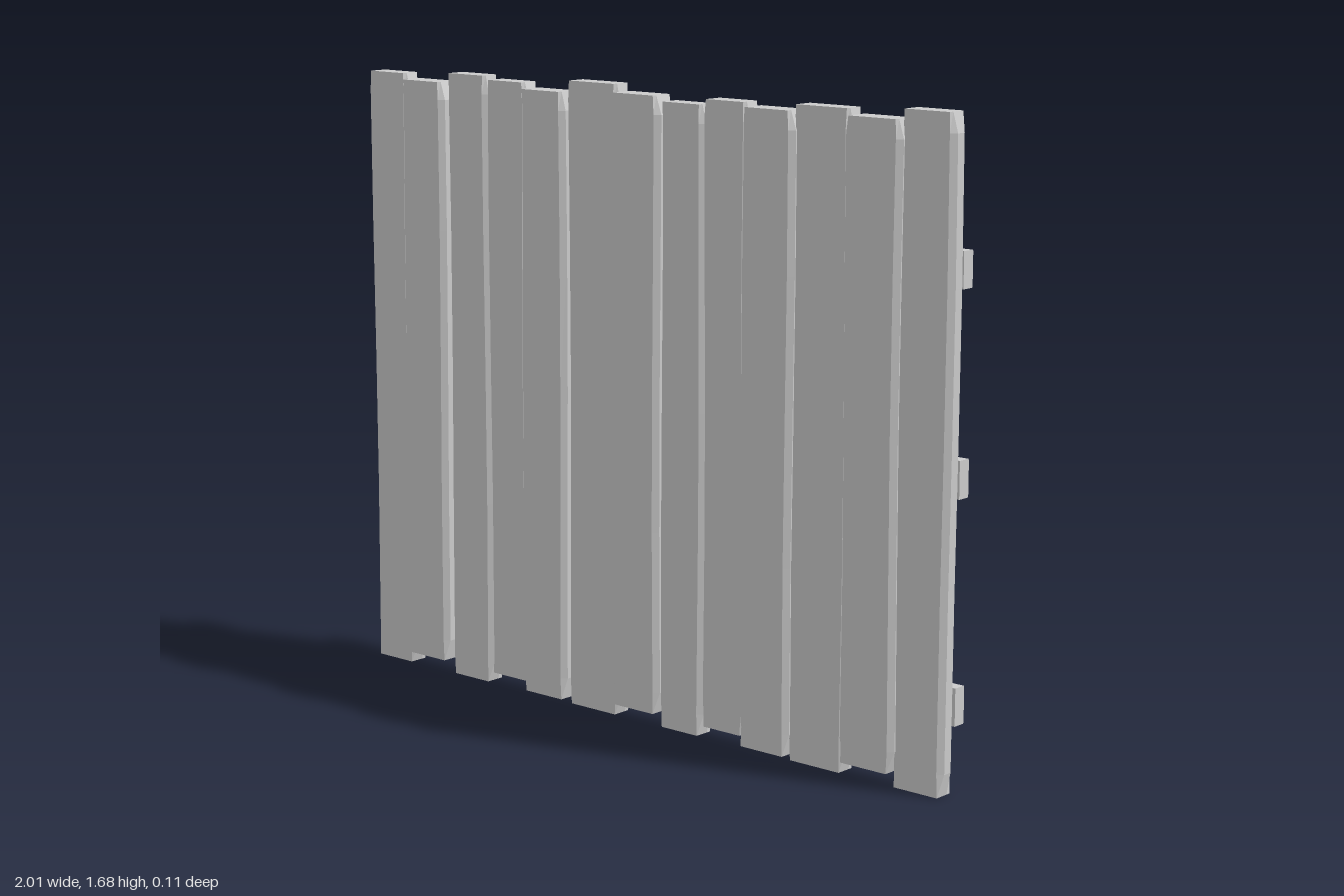
import * as THREE from 'three';

const material = new THREE.MeshStandardMaterial({ color: 0xcccccc, flatShading: true });

// Skin a row of equal-length rings (counter-clockwise about the direction of travel) and cap both ends.
function loft(name, rings) {
  const pos = [];
  const tri = (a, b, c) => pos.push(...a, ...b, ...c);
  const n = rings[0].length;
  for (let i = 0; i < rings.length - 1; i++) {
    for (let j = 0; j < n; j++) {
      const k = (j + 1) % n;
      const a = rings[i][j], b = rings[i][k], c = rings[i + 1][k], d = rings[i + 1][j];
      tri(a, b, c);
      tri(a, c, d);
    }
  }
  const cap = (ring, flip) => {
    const mid = [0, 1, 2].map((q) => ring.reduce((s, p) => s + p[q], 0) / n);
    for (let j = 0; j < n; j++) {
      const a = ring[j], b = ring[(j + 1) % n];
      flip ? tri(mid, b, a) : tri(mid, a, b);
    }
  };
  cap(rings[0], true);
  cap(rings[rings.length - 1], false);
  const geo = new THREE.BufferGeometry();
  geo.setAttribute('position', new THREE.Float32BufferAttribute(pos, 3));
  geo.computeVertexNormals();
  const mesh = new THREE.Mesh(geo, material);
  mesh.name = name;
  return mesh;
}

// Upright board with bevelled long edges that die out into square ends.
function plank(index, x0, x1, y0, y1, zBack, zFront) {
  const bevel = 0.014;
  const wobble = (t, side) => 0.003 * Math.sin(index * 2.3 + t * 5 + side * 1.7);
  const levels = [0, 0.035, 0.3, 0.52, 0.75, 0.97, 1];
  const rings = levels.map((t, i) => {
    const end = i === 0 || i === levels.length - 1;
    const y = THREE.MathUtils.lerp(y0, y1, t);
    const l = x0 + (end ? 0 : wobble(t, 0));
    const r = x1 + (end ? 0 : wobble(t, 1));
    const inset = end ? bevel : 0; // side faces pull in at the ends
    return [
      [r - bevel, y, zFront], [r - inset, y, zFront - bevel],
      [r - inset, y, zBack + bevel], [r - bevel, y, zBack],
      [l + bevel, y, zBack], [l + inset, y, zBack + bevel],
      [l + inset, y, zFront - bevel], [l + bevel, y, zFront],
    ];
  });
  return loft('plank' + (index + 1), rings);
}

// Horizontal rail; stations are [x, chip on top back edge, chip on bottom back edge], 0 to 1.
function rail(name, y0, y1, stations) {
  const zb = -0.053, zf = -0.016;
  const rings = stations.map(([x, top, bottom]) => {
    const t = 0.003 + top * 0.026, b = 0.003 + bottom * 0.026;
    return [
      [x, y1, zb + t * 0.6], [x, y1, zf], [x, y0, zf],
      [x, y0, zb + b * 0.6], [x, y0 + b, zb], [x, y1 - t, zb],
    ];
  });
  return loft(name, rings);
}

export function createModel() {
  const group = new THREE.Group();
  group.name = 'fencePanel';

  // Boards: left edge, right edge, bottom, top, set forward or not
  const boards = [
    [-1.0, -0.845, 0, 1.67, 0],
    [-0.855, -0.695, 0.035, 1.655, 1],
    [-0.695, -0.54, 0, 1.68, 0],
    [-0.545, -0.395, 0.03, 1.67, 0],
    [-0.405, -0.245, 0.01, 1.655, 1],
    [-0.25, -0.065, 0, 1.685, 0],
    [-0.08, 0.085, 0.035, 1.665, 1],
    [0.075, 0.225, 0, 1.65, 0],
    [0.22, 0.37, 0.03, 1.665, 0],
    [0.36, 0.525, 0.01, 1.655, 1],
    [0.51, 0.695, 0, 1.67, 0],
    [0.685, 0.855, 0.035, 1.655, 1],
    [0.84, 1.0, 0, 1.68, 0],
  ];
  boards.forEach(([x0, x1, y0, y1, forward], i) => {
    group.add(plank(i, x0, x1, y0, y1, forward ? -0.012 : -0.018, forward ? 0.053 : 0.036));
  });

  // Rails across the back, with worn edges
  group.add(rail('topRail', 1.255, 1.347, [
    [-0.995, 0, 0], [-0.43, 0, 0], [-0.34, 1, 0], [-0.27, 0.8, 0], [-0.08, 0, 0],
    [0.68, 0, 0], [0.8, 0, 0.7], [0.9, 0, 0], [0.998, 0, 0],
  ]));
  group.add(rail('middleRail', 0.742, 0.838, [[-0.995, 0, 0], [0.998, 0, 0]]));
  group.add(rail('bottomRail', 0.173, 0.27, [
    [-0.995, 0, 0], [-0.75, 0.4, 0], [-0.57, 0.9, 0], [-0.55, 0.2, 0], [-0.42, 0.4, 0.4],
    [-0.3, 0, 0], [0.45, 0, 0], [0.78, 0.9, 0], [0.88, 0, 0], [0.998, 0, 0],
  ]));

  return group;
}
